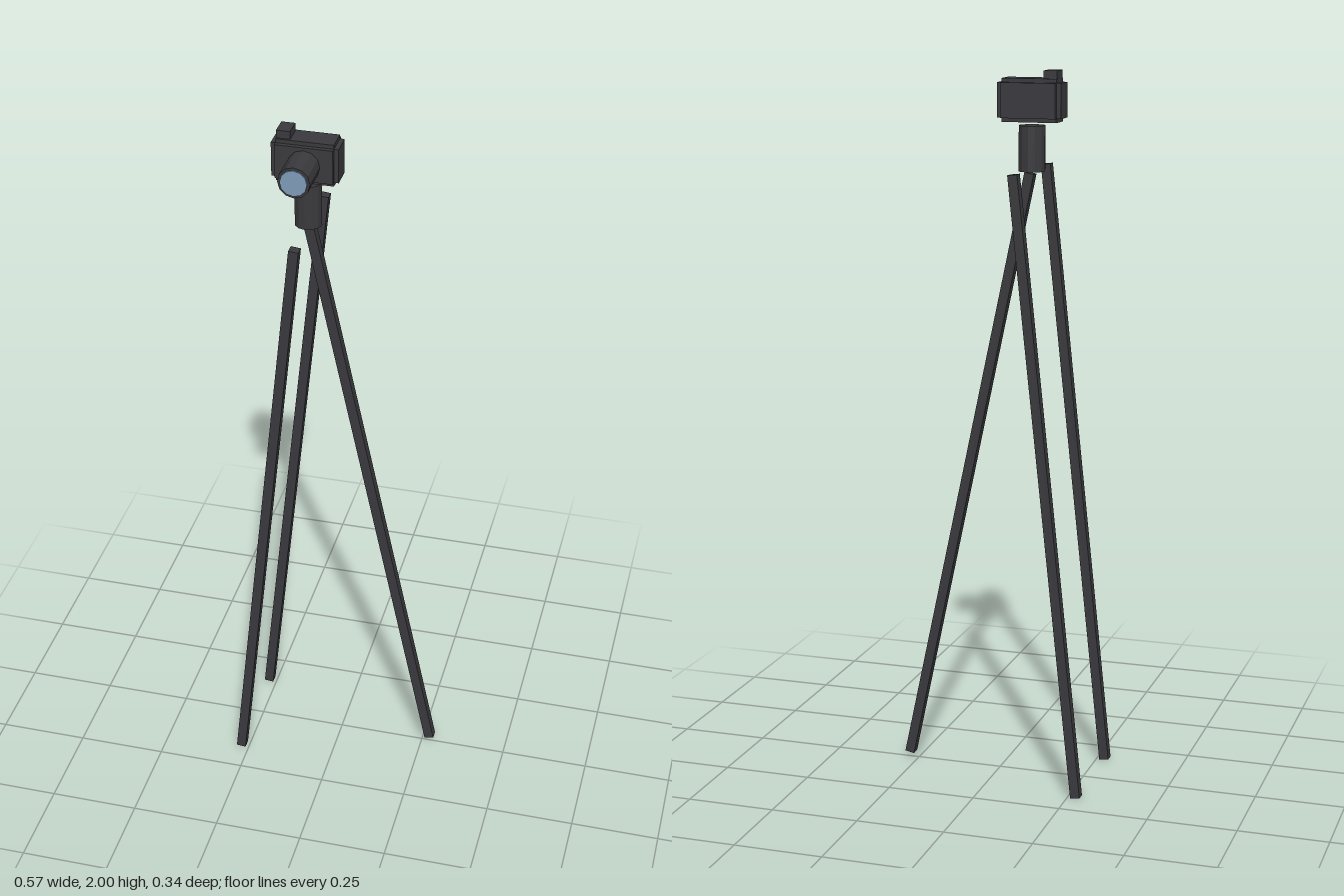
import * as THREE from 'three';

export function createModel() {
  const model = new THREE.Group();
  model.name = 'cameraOnTripod';

  const darkPlastic = new THREE.MeshStandardMaterial({ color: 0x3a3a3e, flatShading: true });
  darkPlastic.name = 'dark plastic';
  const lensBlue = new THREE.MeshStandardMaterial({ color: 0x7f9bb8, flatShading: true });
  lensBlue.name = 'lens blue';

  const add = (name, geometry, material, x, y, z, parent = model) => {
    const mesh = new THREE.Mesh(geometry, material);
    mesh.name = name;
    mesh.position.set(x, y, z);
    parent.add(mesh);
    return mesh;
  };

  const axisX = -0.091; // shared centre line of the camera, lens and head
  const midZ = -0.002;

  // Three square legs: two leaning to one side, one to the other
  const legGeometry = new THREE.BoxGeometry(0.027, 1.742, 0.027);
  const legs = [
    ['frontLeg', -0.18, 0.868, 0.153, -0.107],
    ['backLeg', -0.18, 0.868, -0.157, -0.107],
    ['middleLeg', 0.0935, 0.871, midZ, 0.2085],
  ];
  for (const [name, x, y, z, tilt] of legs) {
    add(name, legGeometry, darkPlastic, x, y, z).rotation.z = tilt;
  }

  // Tripod head
  add('tripodHead', new THREE.CylinderGeometry(0.037, 0.037, 0.124, 12), darkPlastic, axisX, 1.79, midZ);

  // Camera body: three crossing boxes give the stepped edges
  const body = new THREE.Group();
  body.name = 'cameraBody';
  body.position.set(axisX, 1.92, midZ);
  model.add(body);
  add('bodyWide', new THREE.BoxGeometry(0.179, 0.095, 0.063), darkPlastic, 0, 0, 0, body);
  add('bodyDeep', new THREE.BoxGeometry(0.154, 0.095, 0.087), darkPlastic, 0, 0, 0, body);
  add('bodyTall', new THREE.BoxGeometry(0.154, 0.117, 0.063), darkPlastic, 0, 0, 0, body);

  // Viewfinder block on top
  add('viewfinder', new THREE.BoxGeometry(0.037, 0.03, 0.052), darkPlastic, -0.149, 1.985, midZ);

  // Lens barrel and glass
  add('lensBarrel', new THREE.CylinderGeometry(0.043, 0.043, 0.109, 12), darkPlastic, axisX, 1.917, 0.0845)
    .rotation.x = Math.PI / 2;
  add('lensGlass', new THREE.CylinderGeometry(0.036, 0.036, 0.008, 12), lensBlue, axisX, 1.917, 0.139)
    .rotation.x = Math.PI / 2;

  return model;
}
